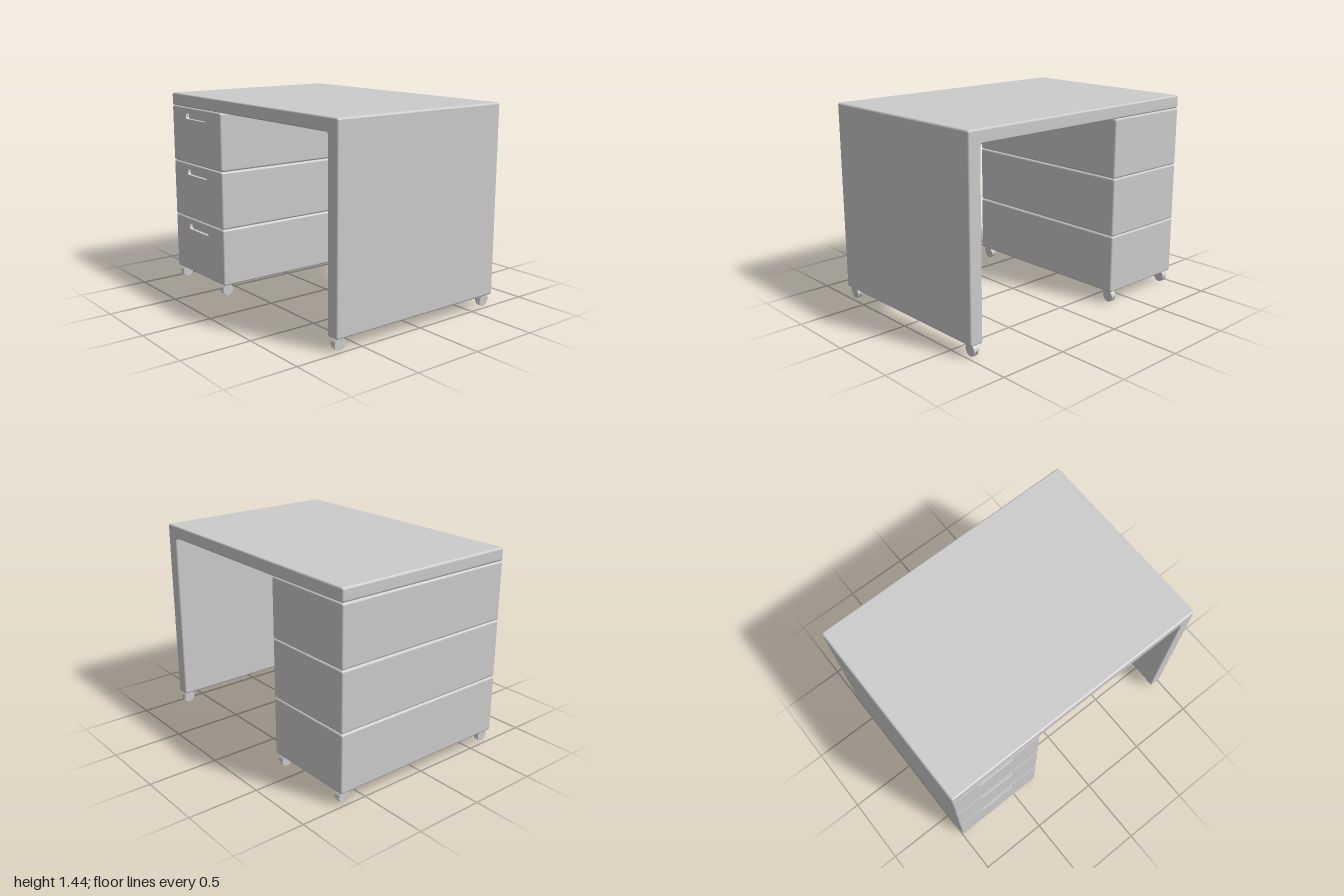
import * as THREE from 'three';
import { mergeVertices } from 'three/addons/utils/BufferGeometryUtils.js';

const DEPTH = 1.4, FRONT = DEPTH / 2, BEVEL = 0.012;
const material = new THREE.MeshStandardMaterial({ color: 0xcccccc });
const doubleSided = new THREE.MeshStandardMaterial({ color: 0xcccccc, side: THREE.DoubleSide });

function add(parent, name, geometry, mat = material) {
  const mesh = new THREE.Mesh(geometry, mat);
  mesh.name = name;
  parent.add(mesh);
  return mesh;
}

// Closed outline through [x, y, cornerRadius] points
function roundedOutline(points, Type = THREE.Shape) {
  const path = new Type();
  const toward = (a, b, d) => {
    const len = Math.hypot(b[0] - a[0], b[1] - a[1]);
    return [a[0] + (b[0] - a[0]) * d / len, a[1] + (b[1] - a[1]) * d / len];
  };
  points.forEach((p, i) => {
    const prev = points[(i + points.length - 1) % points.length];
    const next = points[(i + 1) % points.length];
    const start = toward(p, prev, p[2]), end = toward(p, next, p[2]);
    if (i === 0) path.moveTo(...start); else path.lineTo(...start);
    path.quadraticCurveTo(p[0], p[1], ...end);
  });
  path.closePath();
  return path;
}

const rect = (x0, y0, x1, y1, r, Type) =>
  roundedOutline([[x0, y0, r], [x1, y0, r], [x1, y1, r], [x0, y1, r]], Type);

// Full-depth extrusion with softly rounded edges; large faces keep flat normals
function softExtrude(shape) {
  let g = new THREE.ExtrudeGeometry(shape, {
    depth: DEPTH - 2 * BEVEL, bevelThickness: BEVEL, bevelSize: BEVEL,
    bevelSegments: 4, curveSegments: 4,
  });
  g.translate(0, 0, -FRONT + BEVEL);
  g.deleteAttribute('uv');
  g.deleteAttribute('normal');
  g = mergeVertices(g, 1e-5);
  g.computeVertexNormals();
  return g.toNonIndexed();
}

// Remove the flat cap lying on the front plane
function openFront(g) {
  const p = g.attributes.position, n = g.attributes.normal, pos = [], nor = [];
  for (let i = 0; i < p.count; i += 3) {
    if ([0, 1, 2].every(k => Math.abs(p.getZ(i + k) - FRONT) < 1e-5)) continue;
    for (let k = i; k < i + 3; k++) {
      pos.push(p.getX(k), p.getY(k), p.getZ(k));
      nor.push(n.getX(k), n.getY(k), n.getZ(k));
    }
  }
  const out = new THREE.BufferGeometry();
  out.setAttribute('position', new THREE.Float32BufferAttribute(pos, 3));
  out.setAttribute('normal', new THREE.Float32BufferAttribute(nor, 3));
  return out;
}

// Drawer with a recessed finger slot in its front
function createDrawer(y0) {
  const drawer = new THREE.Group();
  drawer.name = 'drawer';
  const outline = () => rect(-1 + BEVEL, y0 + BEVEL, -0.305 - BEVEL, y0 + 0.419 - BEVEL, 0.004);
  add(drawer, 'drawerBody', openFront(softExtrude(outline())));

  const slot = [-0.797, y0 + 0.333, -0.513, y0 + 0.378, 0.015];
  const face = outline();
  face.holes.push(rect(...slot, THREE.Path));
  add(drawer, 'drawerFront', new THREE.ShapeGeometry(face, 4).translate(0, 0, FRONT));

  const recess = new THREE.ExtrudeGeometry(rect(...slot), {
    depth: 0.025, bevelEnabled: false, curveSegments: 4,
  });
  recess.translate(0, 0, FRONT - 0.025);
  add(drawer, 'handleRecess', openFront(recess), doubleSided);
  return drawer;
}

// Twin-wheel caster under a half-round hood
function createCaster(x, z) {
  const caster = new THREE.Group();
  caster.name = 'caster';
  const hood = new THREE.CylinderGeometry(0.043, 0.043, 0.044, 24, 1, false, 0, Math.PI);
  add(caster, 'casterHood', hood.rotateZ(Math.PI / 2), doubleSided);
  for (const side of [-1, 1]) {
    const wheel = new THREE.CylinderGeometry(0.042, 0.042, 0.014, 24).rotateZ(Math.PI / 2);
    add(caster, 'casterWheel', wheel).position.x = side * 0.011;
  }
  add(caster, 'casterAxle', new THREE.CylinderGeometry(0.012, 0.012, 0.03, 12).rotateZ(Math.PI / 2));
  add(caster, 'casterStem', new THREE.CylinderGeometry(0.012, 0.012, 0.06, 12)).position.y = 0.03;
  caster.position.set(x, 0.042, z);
  return caster;
}

export function createModel() {
  const desk = new THREE.Group();
  desk.name = 'desk';

  // Desktop and side panel in one L-shaped piece
  const b = BEVEL;
  add(desk, 'topAndSidePanel', softExtrude(roundedOutline([
    [-1 + b, 1.347 + b, 0.004], [0.902 + b, 1.347 + b, 0.03],
    [0.902 + b, 0.085 + b, 0.004], [1 - b, 0.085 + b, 0.004],
    [1 - b, 1.44 - b, 0.004], [-1 + b, 1.44 - b, 0.004],
  ])));

  // Stack of three drawers
  for (let i = 0; i < 3; i++) desk.add(createDrawer(0.085 + i * 0.421));

  // Casters under the drawers and the side panel
  for (const x of [-0.95, -0.352, 0.95])
    for (const z of [-0.652, 0.652]) desk.add(createCaster(x, z));

  return desk;
}
